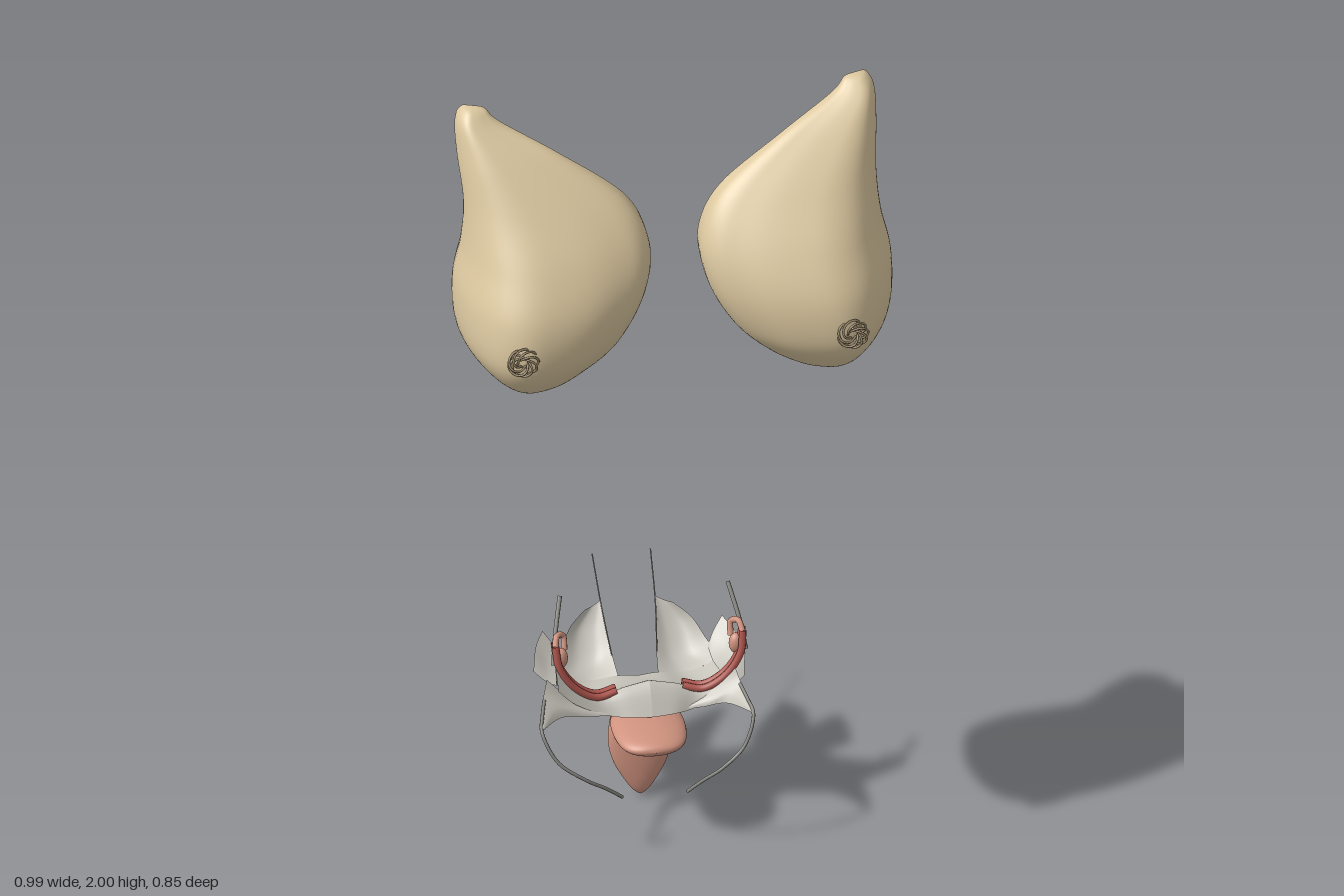
import * as THREE from 'three';

const mat = (color) => new THREE.MeshStandardMaterial({ color, side: THREE.DoubleSide });
const TAN = mat(0xdcc8a0), PINK = mat(0xd0937f), RED = mat(0xb0564e), GREY = mat(0xc6c3ba), CORD = mat(0x8c8a85);
const V = (p) => new THREE.Vector3(...p);

// Catmull-Rom resampling of rows of numbers to n + 1 rows
function resample(rows, n) {
  const last = rows.length - 1, out = [];
  for (let k = 0; k <= n; k++) {
    const f = (k / n) * last, i = Math.min(Math.floor(f), last - 1), t = f - i;
    const [a, b, c, d] = [i - 1, i, i + 1, i + 2].map((j) => rows[Math.max(0, Math.min(last, j))]);
    out.push(b.map((_, m) => b[m] + 0.5 * t * (c[m] - a[m] + t * (2 * a[m] - 5 * b[m] + 4 * c[m] - d[m]
      + t * (3 * (b[m] - c[m]) + d[m] - a[m])))));
  }
  return out;
}

// Surface through a grid of points
function gridMesh(name, grid, material) {
  const w = grid[0].length, index = [];
  for (let r = 0; r < grid.length - 1; r++) {
    for (let c = 0; c < w - 1; c++) {
      const a = r * w + c, b = a + w;
      index.push(a, b, a + 1, b, b + 1, a + 1);
    }
  }
  const g = new THREE.BufferGeometry();
  g.setAttribute('position', new THREE.Float32BufferAttribute(grid.flat(2), 3));
  g.setIndex(index);
  g.computeVertexNormals();
  const m = new THREE.Mesh(g, material);
  m.name = name;
  return m;
}

// Smooth sheet through a few control rows; sx scales x and its sign mirrors
function sheet(name, rows, sx) {
  const across = rows.map((r) => resample(r, 16).flat());
  const grid = resample(across, 20).map((flat) => {
    const pts = [];
    for (let i = 0; i < flat.length; i += 3) pts.push([sx * flat[i], flat[i + 1], flat[i + 2]]);
    return pts;
  });
  return gridMesh(name, grid, GREY);
}

function cord(name, pts, radius, sx, material) {
  const curve = new THREE.CatmullRomCurve3(pts.map(([x, y, z]) => V([sx * x, y, z])));
  const m = new THREE.Mesh(new THREE.TubeGeometry(curve, 36, radius, 8), material);
  m.name = name;
  return m;
}

// Closed body from elliptical rings [x, y, z, rx, r2]; 'upright' rings lie in xz, others in xy
function organ(name, rings, upright) {
  const grid = resample(rings, 28).map(([x, y, z, rx, r2]) => {
    const ring = [];
    for (let j = 0; j <= 32; j++) {
      const a = (j / 32) * Math.PI * 2, p = Math.max(rx, 0) * Math.cos(a), q = Math.max(r2, 0) * Math.sin(a);
      ring.push(upright ? [x + p, y, z + q] : [x + p, y + q, z]);
    }
    return ring;
  });
  return gridMesh(name, grid, PINK);
}

// Levels of the shell: y, inner x, outer x, inner rim z, outer rim z, front z, hollow depth
const LEVELS = [
  [2.0, 0.435, 0.435, 0.062, 0.062, 0.062, 0],
  [1.994, 0.408, 0.458, 0.062, 0.045, 0.085, 0],
  [1.965, 0.375, 0.474, 0.08, 0.042, 0.118, 0.1],
  [1.9, 0.25, 0.474, 0.13, 0.058, 0.178, 0.25],
  [1.8, 0.11, 0.466, 0.16, 0.09, 0.258, 0.42],
  [1.7, 0.06, 0.474, 0.17, 0.08, 0.335, 0.48],
  [1.6, 0.07, 0.494, 0.17, 0.073, 0.39, 0.48],
  [1.5, 0.12, 0.488, 0.17, 0.092, 0.402, 0.4],
  [1.43, 0.187, 0.445, 0.17, 0.13, 0.37, 0.15],
  [1.395, 0.245, 0.39, 0.195, 0.17, 0.325, 0],
  [1.38, 0.31, 0.31, 0.25, 0.25, 0.25, 0],
];
// Section of the shell from inner to outer rim: part of the width, part of the height
const FRONT = resample([[0, 0], [0, 0.35], [0.06, 0.6], [0.17, 0.76], [0.32, 0.9], [0.5, 0.98], [0.67, 1],
  [0.81, 0.91], [0.92, 0.71], [0.985, 0.47], [1, 0.24], [0.96, 0]], 44);
const BACK = resample([[0, 0], [0.12, 0.45], [0.3, 0.86], [0.52, 1], [0.74, 0.86], [0.88, 0.48], [0.96, 0]], 44);

function breast(side) {
  const group = new THREE.Group();
  group.name = side > 0 ? 'leftBreast' : 'rightBreast';
  const rows = resample(LEVELS, 70);
  const surface = (section, hollow) => rows.map(([y, xi, xo, zi, zo, zf, depth]) => section.map(([u, v]) => {
    const base = zi + (zo - zi) * u;
    return [side * (xi + (xo - xi) * u), y, base + (zf - base) * v * (hollow ? depth : 1)];
  }));
  group.add(gridMesh('breastFront', surface(FRONT, false), TAN), gridMesh('breastHollow', surface(BACK, true), TAN));

  // Tangle of fine ducts at the tip
  const knot = new THREE.Mesh(new THREE.TorusKnotGeometry(0.023, 0.0028, 160, 6, 5, 7), mat(0x9c8a6c));
  knot.name = 'ductCluster';
  knot.position.set(side * 0.373, 1.53, 0.406);
  group.add(knot);
  return group;
}

// One half of the ligament sheets, tubes and cords, measured from the organ midline
function ligamentSide(side) {
  const group = new THREE.Group();
  group.name = side > 0 ? 'leftLigaments' : 'rightLigaments';
  group.position.x = 0.008;
  const reach = side * (side > 0 ? 0.88 : 1.09); // the front wings differ in width

  group.add(sheet('broadLigament', [
    [[0, 0.262, -0.185], [0.045, 0.265, -0.187], [0.1, 0.25, -0.2], [0.15, 0.262, -0.2], [0.187, 0.285, -0.2]],
    [[0, 0.285, -0.12], [0.06, 0.278, -0.12], [0.12, 0.262, -0.12], [0.16, 0.272, -0.12], [0.195, 0.3, -0.12]],
    [[0, 0.325, -0.06], [0.06, 0.31, -0.06], [0.12, 0.29, -0.06], [0.17, 0.33, -0.055], [0.21, 0.41, -0.05]],
    [[0, 0.352, -0.02], [0.06, 0.34, -0.02], [0.12, 0.325, -0.02], [0.18, 0.37, -0.015], [0.215, 0.43, -0.02]],
    [[0, 0.29, 0.028], [0.05, 0.29, 0.022], [0.1, 0.29, 0.005], [0.17, 0.325, 0.005], [0.21, 0.365, 0.005]],
  ], side));

  // Rear wing rising to a point
  group.add(sheet('rearWing', [
    [[0.045, 0.265, -0.187], [0.1, 0.25, -0.2], [0.15, 0.262, -0.2], [0.187, 0.285, -0.2]],
    [[0.051, 0.29, -0.25], [0.085, 0.268, -0.25], [0.13, 0.27, -0.25], [0.165, 0.3, -0.25]],
    [[0.058, 0.335, -0.3], [0.08, 0.318, -0.3], [0.115, 0.318, -0.3], [0.138, 0.335, -0.29]],
    [[0.062, 0.37, -0.335], [0.072, 0.365, -0.333], [0.085, 0.36, -0.328], [0.1, 0.36, -0.318]],
  ], side));

  // Front wing tapering into the round cord
  group.add(sheet('frontWing', [
    [[0.08, 0.29, 0.006], [0.15, 0.32, -0.005], [0.215, 0.39, -0.01]],
    [[0.13, 0.295, 0.012], [0.18, 0.33, 0.015], [0.224, 0.365, 0.01]],
    [[0.19, 0.315, 0.035], [0.21, 0.335, 0.04], [0.232, 0.35, 0.04]],
    [[0.24, 0.335, 0.11], [0.24, 0.336, 0.11], [0.242, 0.337, 0.11]],
  ], reach));

  // Side lobe
  group.add(sheet('sideLobe', [
    [[0.165, 0.29, -0.235], [0.17, 0.28, -0.19], [0.182, 0.28, -0.14]],
    [[0.18, 0.315, -0.255], [0.2, 0.3, -0.21], [0.212, 0.29, -0.147]],
    [[0.203, 0.345, -0.272], [0.225, 0.33, -0.23], [0.24, 0.31, -0.165]],
  ], side));

  group.add(cord('roundCord', [[0.225, 0.355, 0.02], [0.236, 0.345, 0.07], [0.243, 0.333, 0.115],
    [0.215, 0.27, 0.143], [0.16, 0.22, 0.148], [0.11, 0.175, 0.127], [0.075, 0.135, 0.105]], 0.004, reach, CORD));
  group.add(cord('rearCord', [[0.051, 0.285, -0.24], [0.061, 0.36, -0.325], [0.066, 0.435, -0.428]], 0.0015, side, CORD));
  group.add(cord('upperCord', [[0.218, 0.42, -0.02], [0.208, 0.48, -0.055], [0.19, 0.548, -0.105]], 0.005, side, CORD));

  // Uterine tube as twin red strands ending in a curled fringe
  for (const dz of [-0.009, 0.007]) {
    group.add(cord('uterineTube', [[0.075, 0.334, -0.03 + dz], [0.12, 0.328, -0.022 + dz], [0.17, 0.36, -0.018 + dz],
      [0.205, 0.415, -0.022 + dz], [0.212, 0.465, -0.035 + dz]], 0.0085, side, RED));
  }
  group.add(cord('tubeFringe', [[0.212, 0.46, -0.03], [0.205, 0.478, -0.05], [0.19, 0.47, -0.062],
    [0.188, 0.44, -0.05]], 0.007, side, PINK));
  const ovary = new THREE.Mesh(new THREE.SphereGeometry(1, 20, 14), PINK);
  ovary.name = 'ovary';
  ovary.scale.set(0.016, 0.025, 0.016);
  ovary.position.set(side * 0.198, 0.425, -0.04);
  group.add(ovary);
  return group;
}

export function createModel() {
  const model = new THREE.Group();
  model.name = 'anatomy';
  const pelvis = new THREE.Group();
  pelvis.name = 'pelvicOrgans';
  pelvis.position.x = -0.028;

  // Flattened horizontal body, dipping at the rear
  pelvis.add(organ('uterus', [
    [0, 0.26, 0.127, 0, 0], [0, 0.259, 0.12, 0.04, 0.012], [0, 0.257, 0.095, 0.068, 0.021],
    [0, 0.255, 0.04, 0.082, 0.027], [0, 0.252, -0.03, 0.08, 0.028], [0, 0.245, -0.1, 0.055, 0.024],
    [0, 0.238, -0.155, 0.035, 0.016], [0, 0.235, -0.175, 0, 0]], false));
  // Upright leaf-shaped canal
  pelvis.add(organ('lowerCanal', [
    [0, 0.262, -0.158, 0, 0], [0, 0.252, -0.152, 0.035, 0.034], [0, 0.23, -0.134, 0.053, 0.038],
    [0, 0.19, -0.12, 0.067, 0.033], [0, 0.14, -0.112, 0.072, 0.028], [0, 0.09, -0.105, 0.061, 0.023],
    [0, 0.045, -0.102, 0.038, 0.019], [0, 0.015, -0.102, 0.018, 0.013], [0, 0, -0.102, 0, 0]], true));

  for (const side of [1, -1]) {
    pelvis.add(ligamentSide(side));
    model.add(breast(side));
  }
  model.add(pelvis);
  return model;
}
